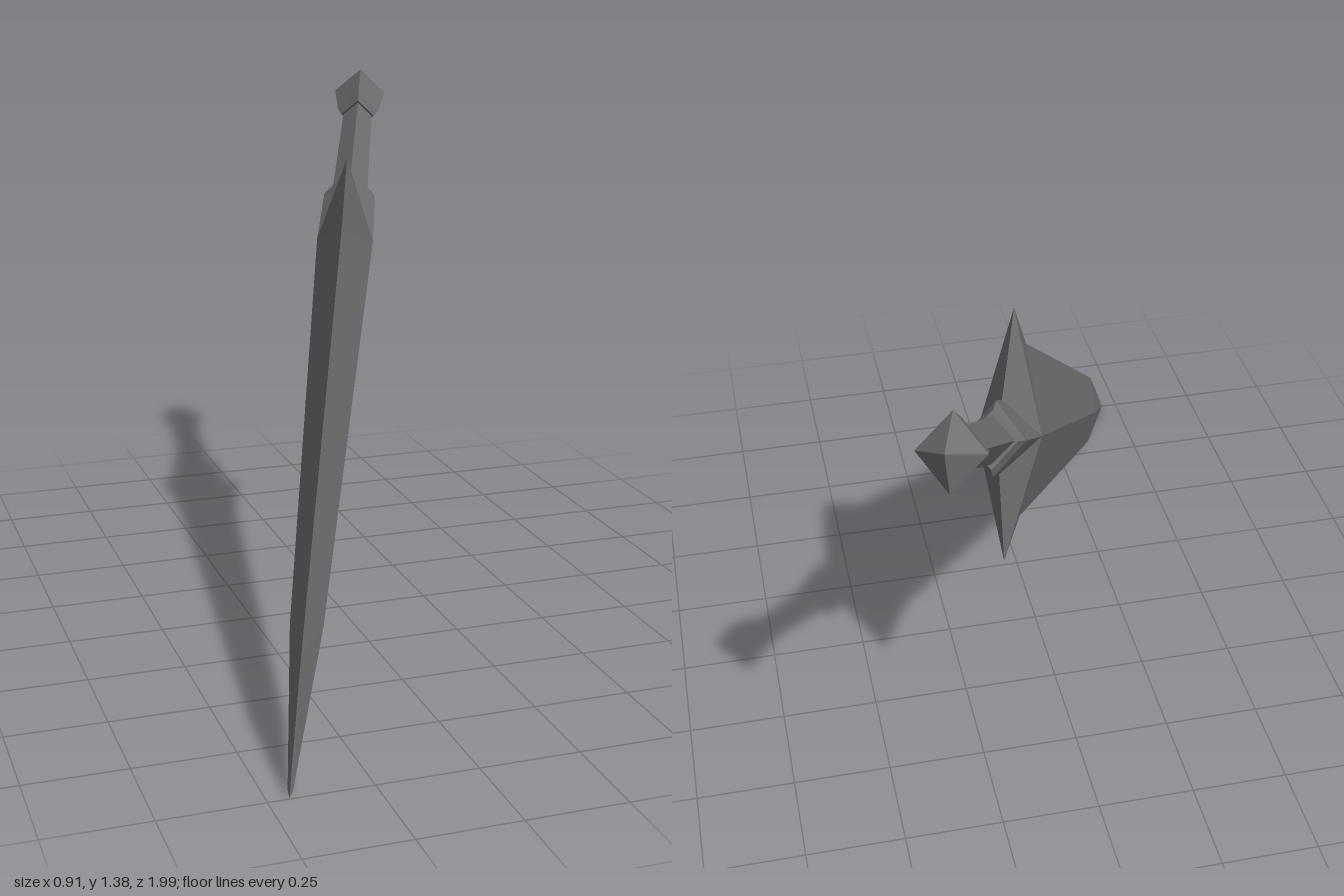
import * as THREE from 'three';

// Lofts diamond cross-sections along local y (tip at 0).
// Each section: [y of the edges, half width (z), y of the ridges, half thickness (x)]
function diamondLoft(sections) {
  const rings = sections.map(([ye, w, yr, t]) => [
    new THREE.Vector3(t, yr, 0),
    new THREE.Vector3(0, ye, w),
    new THREE.Vector3(-t, yr, 0),
    new THREE.Vector3(0, ye, -w),
  ]);
  const points = [];
  const tri = (a, b, c) => {
    // skip collapsed triangles
    if (new THREE.Triangle(a, b, c).getArea() > 1e-7) points.push(a, b, c);
  };
  for (let i = 0; i < rings.length - 1; i++) {
    for (let j = 0; j < 4; j++) {
      const k = (j + 1) % 4;
      const a = rings[i][j], b = rings[i][k], c = rings[i + 1][j], d = rings[i + 1][k];
      if (j % 2) { // mirror the diagonal so both faces match
        tri(a, c, b);
        tri(b, c, d);
      } else {
        tri(a, c, d);
        tri(a, d, b);
      }
    }
  }
  const geometry = new THREE.BufferGeometry().setFromPoints(points);
  geometry.computeVertexNormals();
  return geometry;
}

// Section whose edges and ridges share one height
const flat = (y, w, t) => [y, w, y, t];

export function createModel() {
  const steel = new THREE.MeshStandardMaterial({ color: 0x6b6d6d, flatShading: true });
  steel.name = 'dark steel';

  const dagger = new THREE.Group();
  dagger.name = 'dagger';
  const add = (name, sections) => {
    const mesh = new THREE.Mesh(diamondLoft(sections), steel);
    mesh.name = name;
    dagger.add(mesh);
  };

  // Blade flaring into pointed shoulders, then cut back to the collar
  add('blade', [
    flat(0, 0, 0),
    [0.025, 0.017, 0.02, 0.006],
    [0.305, 0.102, 0.46, 0.04],
    [1.6, 0.216, 1.8, 0.08],
    [1.8, 0.304, 1.8, 0.08],
    [1.915, 0.087, 1.8, 0.08],
  ]);

  // Collar between blade and grip
  add('collar', [
    flat(1.8, 0, 0),
    flat(1.8, 0.086, 0.08),
    flat(1.995, 0.088, 0.074),
    flat(2.02, 0.07, 0.06),
    flat(2.02, 0, 0),
  ]);

  // Tapered grip
  add('grip', [flat(2.0, 0.057, 0.052), flat(2.4, 0.046, 0.042)]);

  // Faceted pommel
  add('pommel', [
    flat(2.365, 0, 0),
    flat(2.365, 0.055, 0.05),
    flat(2.39, 0.068, 0.062),
    flat(2.48, 0.086, 0.077),
    flat(2.548, 0, 0),
  ]);

  // Lean the whole weapon so that it stands on its tip
  const along = new THREE.Vector3(0.336, 0.526, -0.781).normalize();
  const width = new THREE.Vector3(-0.151, 0.853, 0.5);
  width.addScaledVector(along, -width.dot(along)).normalize();
  const normal = new THREE.Vector3().crossVectors(along, width);
  dagger.quaternion.setFromRotationMatrix(new THREE.Matrix4().makeBasis(normal, along, width));
  dagger.position.set(-0.45, 0.004, 1.0);

  const model = new THREE.Group();
  model.name = 'model';
  model.add(dagger);
  return model;
}
